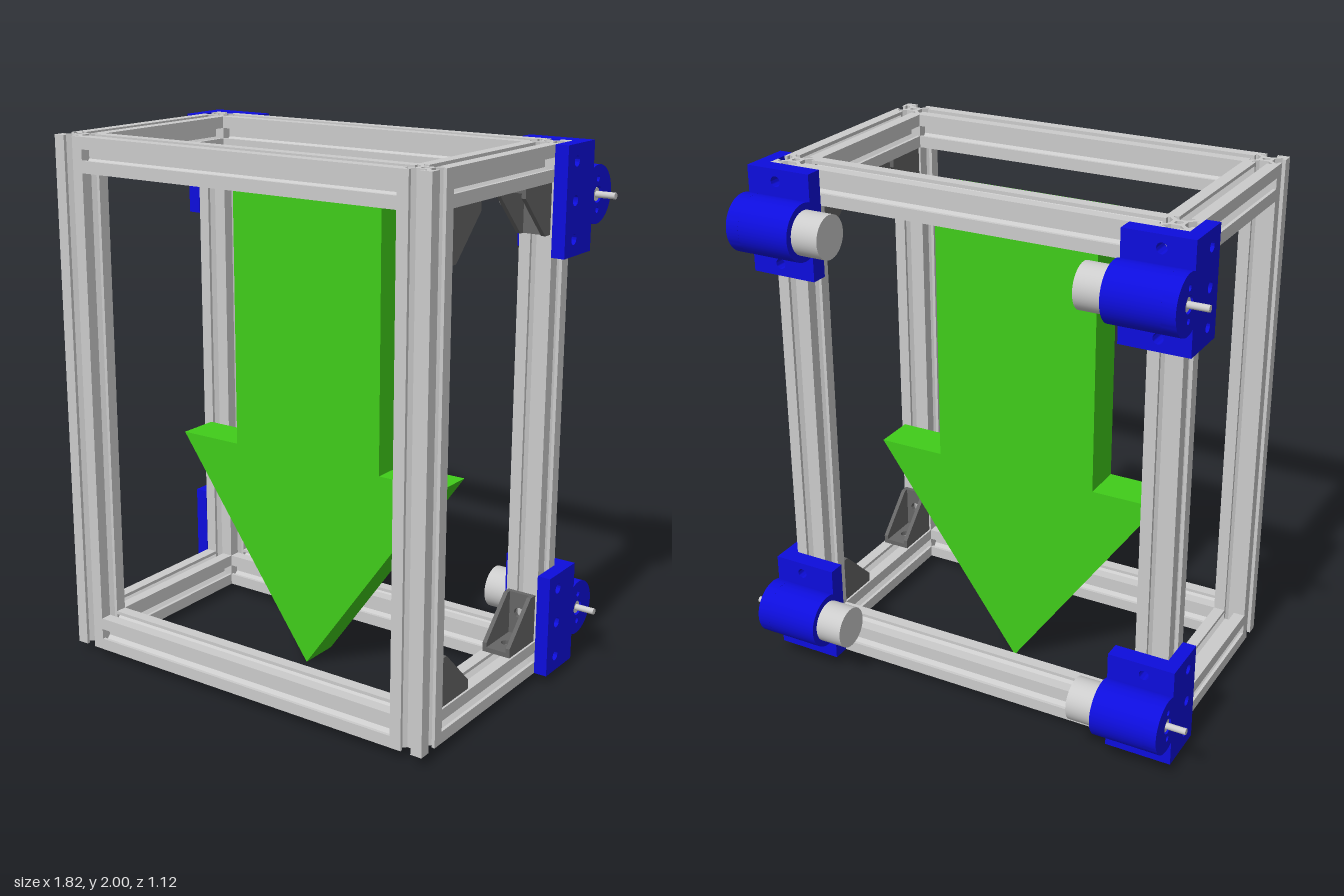
import * as THREE from 'three';
import { toCreasedNormals } from 'three/addons/utils/BufferGeometryUtils.js';

const grey = new THREE.MeshStandardMaterial({ color: 0xcccccc });
const darkGrey = new THREE.MeshStandardMaterial({ color: 0x666666 });
const blue = new THREE.MeshStandardMaterial({ color: 0x0d0ddd });
const green = new THREE.MeshStandardMaterial({ color: 0x40cc1a });

const H = 0.064;                      // half width of the slotted bar
const X = 0.725, ZF = 0.496, ZB = -0.291; // post centres
const BOTTOM = 0.035, TOP = 2;

function add(parent, name, geometry, material, x = 0, y = 0, z = 0) {
  const mesh = new THREE.Mesh(geometry, material);
  mesh.name = name;
  mesh.position.set(x, y, z);
  parent.add(mesh);
  return mesh;
}

function polygon(points, holes = []) {
  const shape = new THREE.Shape(points.map(([x, y]) => new THREE.Vector2(x, y)));
  for (const [x, y, r] of holes) shape.holes.push(new THREE.Path().absarc(x, y, r, 0, Math.PI * 2, true));
  return shape;
}

function extrude(shape, depth) {
  const g = new THREE.ExtrudeGeometry(shape, { depth, bevelEnabled: false, curveSegments: 20 });
  return toCreasedNormals(g, 0.6);
}

// Square bar section with a T-slot on each side and a bore
function barShape() {
  const side = [[H, -H], [H, -0.02], [0.052, -0.02], [0.052, -0.036], [0.046, -0.036], [0.026, -0.016],
    [0.026, 0.016], [0.046, 0.036], [0.052, 0.036], [0.052, 0.02], [H, 0.02]];
  const points = [];
  for (let i = 0; i < 4; i++) {
    const c = [1, 0, -1, 0][i], s = [0, 1, 0, -1][i];
    for (const [x, y] of side) points.push([c * x - s * y, s * x + c * y]);
  }
  return polygon(points, [[0, 0, 0.014]]);
}

// Bar centred on its own length, running along the given axis
function barGeometry(length, axis) {
  const g = extrude(barShape(), length).translate(0, 0, -length / 2);
  if (axis === 'x') g.rotateY(Math.PI / 2);
  if (axis === 'y') g.rotateX(Math.PI / 2);
  return g;
}

function buildFrame() {
  const frame = new THREE.Group();
  frame.name = 'frame';
  const post = barGeometry(TOP - BOTTOM, 'y');
  const crossBar = barGeometry(2 * (X - H), 'x');
  const sideBar = barGeometry(ZF - ZB - 2 * H, 'z');
  for (const z of [ZF, ZB]) {
    for (const x of [-X, X]) add(frame, 'post', post, grey, x, (TOP + BOTTOM) / 2, z);
    for (const y of [BOTTOM + H, TOP - H]) add(frame, 'crossBar', crossBar, grey, 0, y, z);
  }
  for (const x of [-X, X])
    for (const y of [BOTTOM + H, TOP - H]) add(frame, 'sideBar', sideBar, grey, x, y, (ZF + ZB) / 2);
  return frame;
}

// Corner bracket: two drilled plates joined by two ribs
function buildBracket() {
  const bracket = new THREE.Group();
  bracket.name = 'cornerBracket';
  const L = 0.183, W = 0.056, T = 0.018, ribT = 0.016;
  const plate = extrude(polygon([[-W, 0], [W, 0], [W, L], [-W, L]], [[0, 0.105, 0.02]]), T);
  add(bracket, 'postPlate', plate, darkGrey);
  add(bracket, 'barPlate', plate.clone().rotateX(Math.PI / 2), darkGrey, 0, T, 0);
  const rib = extrude(polygon([[0, 0], [L, 0], [L, 0.035], [0.035, L], [0, L]]), ribT)
    .rotateY(-Math.PI / 2).translate(ribT / 2, 0, 0);
  for (const s of [-1, 1]) add(bracket, 'rib', rib, darkGrey, s * (W - ribT / 2), 0, 0);
  return bracket;
}

// Motor mount for the +x side, centred in height on the shaft
function buildMotorMount() {
  const mount = new THREE.Group();
  mount.name = 'motorMount';
  const Z = -0.46, R = 0.105, half = 0.195, back = 0.42, outer = 0.84;
  const inner = 0.585, plateX = X + H;

  // Outer plate with a rounded motor face
  const a = Math.acos((back + Z) / R);
  const face = new THREE.Shape();
  face.moveTo(0.225, -half);
  face.lineTo(back, -half);
  face.absarc(-Z, 0, R, -a, a, false);
  face.lineTo(back, half);
  face.lineTo(0.225, half);
  face.closePath();
  const faceHoles = [[-ZB, -0.135, 0.019], [-ZB, 0, 0.019], [-ZB, 0.135, 0.019],
    [-Z, 0, 0.03], [-Z, 0.055, 0.011], [-Z, -0.055, 0.011]];
  for (const [u, v, r] of faceHoles) face.holes.push(new THREE.Path().absarc(u, v, r, 0, Math.PI * 2, true));
  add(mount, 'outerPlate', extrude(face, outer - plateX).rotateY(Math.PI / 2), blue, plateX, 0, 0);

  // Back plate bolted to the post
  const backPlate = polygon([[inner, -half], [plateX, -half], [plateX, half], [inner, half]],
    [[X, 0.15, 0.019], [X, -0.15, 0.019]]);
  add(mount, 'backPlate', extrude(backPlate, back + ZB - H), blue, 0, 0, -back);

  const cylinder = (name, r, x0, x1, material) => add(mount, name,
    new THREE.CylinderGeometry(r, r, x1 - x0, 40).rotateZ(Math.PI / 2), material, (x0 + x1) / 2, 0, Z);
  cylinder('motorHousing', R, inner, plateX, blue);
  cylinder('motor', 0.08, 0.48, inner + 0.02, grey);
  cylinder('shaftBoss', 0.024, plateX, outer - 0.005, grey);
  cylinder('shaft', 0.012, plateX, 0.91, grey);
  return mount;
}

export function createModel() {
  const model = new THREE.Group();
  model.name = 'frameWithArrow';
  model.add(buildFrame());

  // Downward arrow
  const arrow = polygon([[0, 0], [0.585, 0.82], [0.325, 0.82], [0.325, 1.872],
    [-0.325, 1.872], [-0.325, 0.82], [-0.585, 0.82]]);
  add(model, 'arrow', extrude(arrow, 0.16), green, 0, 0, -0.025);

  // Brackets in the four corners of the left side
  for (const [z, sz] of [[ZF - H, -1], [ZB + H, 1]])
    for (const [y, sy] of [[BOTTOM + 2 * H, 1], [TOP - 2 * H, -1]]) {
      const bracket = buildBracket();
      bracket.position.set(X, y, z);
      bracket.scale.set(1, sy, sz);
      model.add(bracket);
    }

  // Mirrored motor mounts on the back posts
  for (const s of [-1, 1])
    for (const y of [0.23, 1.805]) {
      const mount = buildMotorMount();
      mount.position.y = y;
      mount.scale.x = s;
      model.add(mount);
    }
  return model;
}
